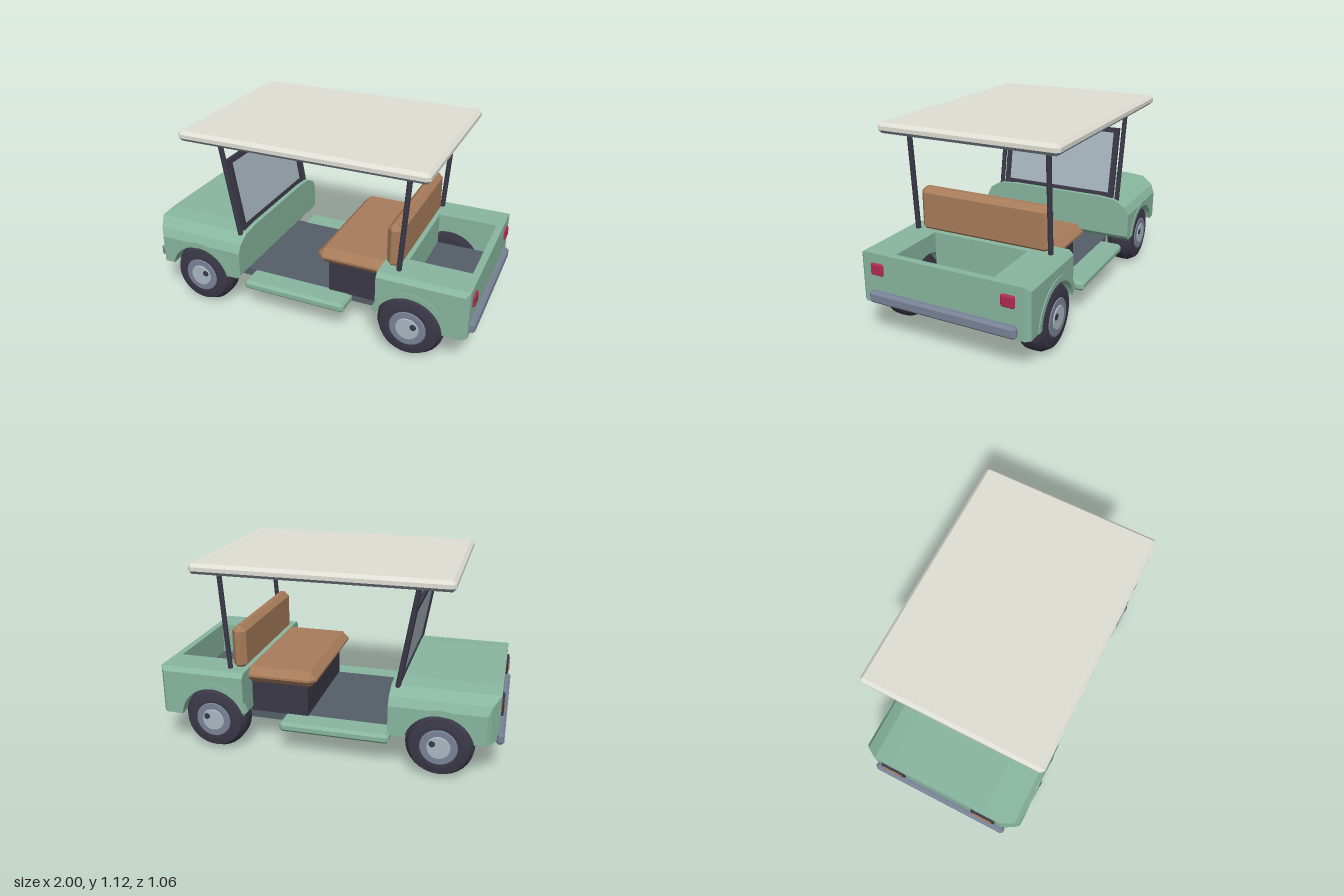
import * as THREE from 'three';
import { ConvexGeometry } from 'three/addons/geometries/ConvexGeometry.js';

const mat = (name, color) => {
  const m = new THREE.MeshStandardMaterial({ color, flatShading: true });
  m.name = name;
  return m;
};

export function createModel() {
  const green = mat('body green', 0x88b69f);
  const cream = mat('roof cream', 0xdfdfd5);
  const lining = mat('roof lining grey', 0x929ea8);
  const brown = mat('seat brown', 0xa87c5a);
  const dark = mat('dark trim', 0x3a3847);
  const steel = mat('bumper steel', 0x788296);
  const pale = mat('glass pale blue', 0xaab7c1);
  const red = mat('tail light red', 0xb02a54);
  const slate = mat('floor slate', 0x555f68);

  const model = new THREE.Group();
  model.name = 'utilityCart';
  const add = (name, geometry, material, parent = model) => {
    const m = new THREE.Mesh(geometry, material);
    m.name = name;
    parent.add(m);
    return m;
  };

  // Box given by its limits, with all edges chamfered by c
  const block = (name, [x0, x1], [y0, y1], [z0, z1], material, c = 0, parent = model) => {
    const w = (x1 - x0) / 2, h = (y1 - y0) / 2, d = (z1 - z0) / 2;
    let g;
    if (c > 0) {
      const pts = [];
      for (const i of [-1, 1]) for (const j of [-1, 1]) for (const k of [-1, 1]) {
        pts.push(new THREE.Vector3(i * w, j * (h - c), k * (d - c)),
          new THREE.Vector3(i * (w - c), j * h, k * (d - c)),
          new THREE.Vector3(i * (w - c), j * (h - c), k * d));
      }
      g = new ConvexGeometry(pts);
    } else g = new THREE.BoxGeometry(2 * w, 2 * h, 2 * d);
    g.translate((x0 + x1) / 2, (y0 + y1) / 2, (z0 + z1) / 2);
    return add(name, g, material, parent);
  };

  // Side profile swept over z levels; each level limits x and y to round the corners
  const shell = (name, shape, levels) => {
    const n = levels.length - 1;
    const g = new THREE.ExtrudeGeometry(shape, { depth: n, steps: n, bevelEnabled: false, curveSegments: 18 });
    const p = g.attributes.position;
    for (let i = 0; i < p.count; i++) {
      const [z, top, xMin, xMax] = levels[Math.round(p.getZ(i))];
      p.setXYZ(i, Math.min(xMax, Math.max(xMin, p.getX(i))), Math.min(top, p.getY(i)), z);
    }
    g.computeVertexNormals();
    return add(name, g, green);
  };

  const AXLE_Y = 0.194, FRONT_X = -0.66, REAR_X = 0.65, ARCH = 0.195;

  // Front cowl with wheel arches
  const cowl = new THREE.Shape();
  const a = Math.asin((0.24 - AXLE_Y) / ARCH);
  cowl.moveTo(-0.97, 0.508);
  cowl.lineTo(-0.97, 0.24);
  cowl.absarc(FRONT_X, AXLE_Y, ARCH, Math.PI - a, a, true);
  cowl.lineTo(-0.4, 0.24);
  cowl.lineTo(-0.38, 0.265);
  cowl.lineTo(-0.38, 0.508);
  const half = [[0.508, 0.41, -0.91, 0], [0.482, 0.458, -0.93, 0], [0.41, 0.498, -0.97, 0], [0.3, 0.508, -0.97, 0]];
  const mirrorZ = ([z, ...rest]) => [-z, ...rest];
  shell('frontCowl', cowl, [...half.map(mirrorZ), ...half.slice().reverse()]);
  block('frontWheelWell', [-0.88, -0.44], [0.25, 0.45], [-0.32, 0.32], green);

  // Rear fenders either side of the open cargo bed
  const fender = new THREE.Shape();
  const b = Math.asin((0.21 - AXLE_Y) / ARCH);
  fender.moveTo(0.97, 0.495);
  fender.lineTo(0.46, 0.495);
  fender.absarc(REAR_X, AXLE_Y, ARCH, Math.PI - Math.acos(0.19 / ARCH), b, true);
  fender.lineTo(0.97, 0.21);
  const side = [[0.29, 0.495, 0, 0.97], [0.475, 0.495, 0, 0.97], [0.5, 0.47, 0, 0.947]];
  shell('leftFender', fender, side);
  shell('rightFender', fender, side.map(mirrorZ).reverse());
  block('tailPanel', [0.93, 0.97], [0.21, 0.495], [-0.29, 0.29], green);
  block('bedFrontWall', [0.46, 0.58], [0.21, 0.495], [-0.29, 0.29], green);
  block('bedBase', [0.58, 0.93], [0.25, 0.295], [-0.29, 0.29], green);
  block('bedFloor', [0.58, 0.93], [0.295, 0.301], [-0.29, 0.29], slate);

  // Raised lips around the wheel arches
  for (const x of [FRONT_X, REAR_X]) for (const s of [-1, 1]) {
    const from = x === FRONT_X ? a : b;
    const to = x === FRONT_X ? Math.PI - a : Math.PI - 0.32;
    const lip = new THREE.Shape();
    lip.absarc(0, 0, 0.225, from, to, false);
    lip.absarc(0, 0, ARCH - 0.002, to, from, true);
    const g = new THREE.ExtrudeGeometry(lip, { depth: 0.025, bevelEnabled: false, curveSegments: 18 });
    const outer = x === FRONT_X ? 0.512 : 0.505;
    g.translate(x, AXLE_Y, s > 0 ? outer - 0.025 : -outer);
    add('archLip', g, green);
  }

  // Wheels
  const V = (x, y) => new THREE.Vector2(x, y);
  const tire = new THREE.LatheGeometry([V(0, -0.085), V(0.125, -0.085), V(0.165, -0.077), V(0.189, -0.037),
    V(0.191, 0), V(0.189, 0.037), V(0.165, 0.077), V(0.125, 0.085), V(0, 0.085)], 32).rotateX(Math.PI / 2);
  const disc = (r0, r1, z0, z1) => new THREE.CylinderGeometry(r1, r0, z1 - z0, 24)
    .rotateX(Math.PI / 2).translate(0, 0, (z0 + z1) / 2);
  for (const x of [FRONT_X, REAR_X]) {
    for (const s of [-1, 1]) {
      const wheel = new THREE.Group();
      wheel.name = 'wheel';
      add('tire', tire, dark, wheel);
      add('rim', disc(0.11, 0.1, 0.08, 0.09), steel, wheel);
      add('hubCap', disc(0.07, 0.063, 0.085, 0.095), pale, wheel);
      add('valve', disc(0.019, 0.017, 0.09, 0.099).translate(0.035 * s, 0.022, 0), dark, wheel);
      wheel.position.set(x, AXLE_Y, s * 0.413);
      if (s < 0) wheel.rotation.y = Math.PI;
      model.add(wheel);
    }
  }

  // Chassis and floor
  block('floor', [-0.5, 0.5], [0.15, 0.2], [-0.32, 0.32], slate);
  block('floorMat', [-0.45, 0.47], [0.2, 0.212], [-0.34, 0.34], slate);
  for (const s of [-1, 1]) {
    const span = (u, v) => (s > 0 ? [u, v] : [-v, -u]);
    block('chassisRail', [-0.74, 0.83], [0.11, 0.182], span(0.177, 0.238), dark, 0.008);
    block('runningBoard', [-0.38, 0.26], [0.155, 0.212], span(0.318, 0.475), green, 0.016);

    // Lights
    block('tailLight', [0.96, 0.983], [0.375, 0.442], span(0.348, 0.425), red, 0.007);
    block('headlightFrame', [-0.983, -0.96], [0.36, 0.44], span(0.22, 0.375), dark, 0.007);
    block('headlightLens', [-0.989, -0.98], [0.375, 0.425], span(0.236, 0.359), brown, 0.003);

    // Roof posts
    for (const [x0, x1] of [[-0.413, -0.518], [0.56, 0.6]]) {
      const path = new THREE.LineCurve3(new THREE.Vector3(x0, 0.47, s * 0.415), new THREE.Vector3(x1, 1.08, s * 0.415));
      add('roofPost', new THREE.TubeGeometry(path, 1, 0.015, 8), dark);
    }
  }

  // Bumpers
  block('rearBumper', [0.955, 1], [0.218, 0.286], [-0.437, 0.437], steel, 0.014);
  block('frontBumper', [-1, -0.955], [0.218, 0.286], [-0.437, 0.437], steel, 0.014);

  // Seat
  block('seatBase', [0.12, 0.47], [0.21, 0.41], [-0.35, 0.35], dark);
  block('seatCushion', [0.06, 0.5], [0.403, 0.496], [-0.4, 0.4], brown, 0.04);
  block('seatBackrest', [0.475, 0.56], [0.48, 0.74], [-0.4, 0.4], brown, 0.03);

  // Windshield leaning back with the front posts
  const shield = new THREE.Group();
  shield.name = 'windshield';
  shield.position.set(-0.413, 0.47, 0);
  shield.rotation.z = Math.atan2(0.105, 0.61);
  model.add(shield);
  const thick = [-0.012, 0.012];
  block('frameTop', thick, [0.443, 0.473], [-0.388, 0.388], dark, 0, shield);
  block('frameBottom', thick, [0.02, 0.06], [-0.388, 0.388], dark, 0, shield);
  block('frameLeft', thick, [0.06, 0.443], [0.355, 0.388], dark, 0, shield);
  block('frameRight', thick, [0.06, 0.443], [-0.388, -0.355], dark, 0, shield);
  block('glass', [-0.004, 0.004], [0.06, 0.443], [-0.355, 0.355], pale, 0, shield);

  // Roof, with its downward faces in the lining colour
  const roof = block('roof', [-0.71, 0.73], [1.066, 1.126], [-0.53, 0.53], [cream, lining], 0.019);
  const normals = roof.geometry.attributes.normal;
  for (let i = 0; i < normals.count; i += 3) roof.geometry.addGroup(i, 3, normals.getY(i) < -0.3 ? 1 : 0);

  return model;
}
